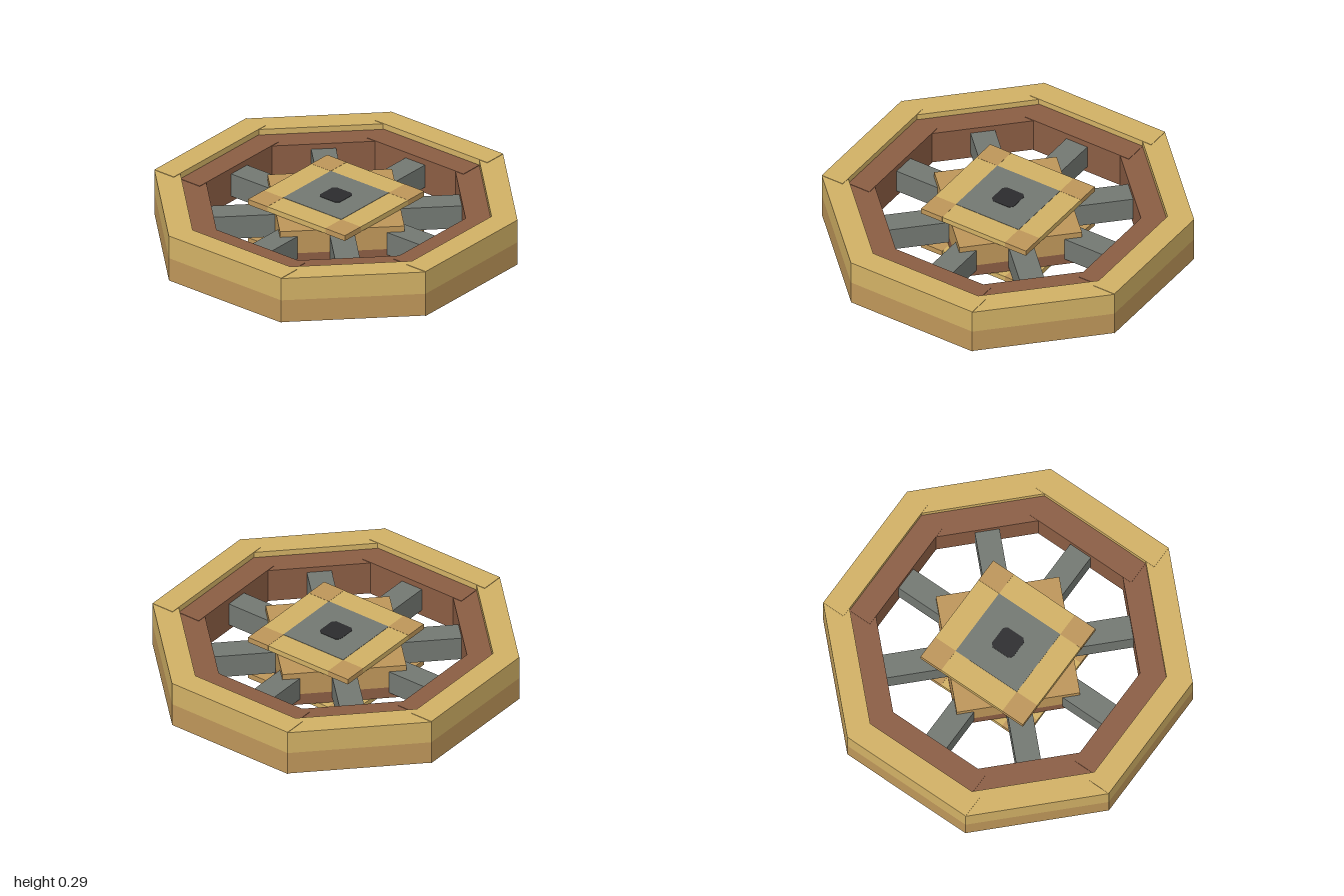
import * as THREE from 'three';

const mat = (name, color) => {
  const m = new THREE.MeshStandardMaterial({ color });
  m.name = name;
  return m;
};

export function createModel() {
  const gold = mat('paleGold', 0xd3b266);
  const ochre = mat('ochre', 0xbf975a);
  const brown = mat('redBrown', 0x8c5e44);
  const grey = mat('stoneGrey', 0x747973);
  const black = mat('nearBlack', 0x2c2c2e);

  const P = 1 / 14; // modelling unit
  const H = 4 * P; // full height
  const model = new THREE.Group();
  model.name = 'wheel';

  // Box given by its width, depth and vertical extent
  const box = (parent, name, w, d, y0, y1, material, z = 0) => {
    const mesh = new THREE.Mesh(new THREE.BoxGeometry(w, y1 - y0, d), material);
    mesh.name = name;
    mesh.position.set(0, (y0 + y1) / 2, z);
    parent.add(mesh);
    return mesh;
  };
  const sideCap = (side, cap) => [side, side, cap, cap, side, side];

  // Eight rim sections, each with its inner rim and spoke
  for (let i = 0; i < 8; i++) {
    const section = new THREE.Group();
    section.name = 'wheelSection';
    section.rotation.y = (i * Math.PI) / 4;
    const inset = i % 2 ? 0.003 : 0; // diagonal sections sit slightly inside
    const t = Math.tan(Math.PI / 8) * 2;
    box(section, 'outerRimUpper', t, 2 * P, H / 2, H - inset, gold, 13 * P);
    box(section, 'outerRimLower', t, 2 * P, inset, H / 2, sideCap(ochre, gold), 13 * P);
    box(section, 'innerRim', t * 12 * P, 2 * P, P / 2 + inset, 3.5 * P - inset, brown, 11 * P);
    box(section, 'spoke', 2 * P, 6 * P, P, 3 * P, grey, 7.5 * P);
    model.add(section);
  }

  // Hub core, turned 45 degrees
  const core = new THREE.Group();
  core.name = 'hubCore';
  core.rotation.y = Math.PI / 4;
  box(core, 'hubCoreUpper', 10 * P, 10 * P, 1.5 * P, 3.5 * P, ochre);
  box(core, 'hubCoreLower', 10 * P, 10 * P, P / 2, 1.5 * P, sideCap(brown, ochre));
  model.add(core);

  // Axle cap outline: a square with softened corners
  const a = 0.074, c = 0.055;
  const capShape = new THREE.Shape(
    [[a, c], [c, a], [-c, a], [-a, c], [-a, -c], [-c, -a], [c, -a], [a, -c]]
      .map(([x, y]) => new THREE.Vector2(x, y))
  );

  // Matching hub plates above and below
  for (const top of [true, false]) {
    const plate = new THREE.Group();
    plate.name = top ? 'topHubPlate' : 'bottomHubPlate';
    if (!top) {
      plate.rotation.x = Math.PI;
      plate.position.y = H;
    }
    box(plate, 'hubPlate', 10 * P, 10 * P, 3.5 * P, H - 0.004, gold);
    for (const sx of [-1, 1]) for (const sz of [-1, 1]) {
      const corner = box(plate, 'hubCorner', 2 * P + 0.001, 2 * P + 0.001, 3.5 * P - 0.001, H - 0.003, ochre);
      corner.position.x = sx * 4 * P;
      corner.position.z = sz * 4 * P;
    }
    box(plate, 'hubPanel', 6 * P, 6 * P, H - 0.006, H - 0.002, grey);
    const cap = new THREE.Mesh(
      new THREE.ExtrudeGeometry(capShape, { depth: 0.005, bevelEnabled: false }), black);
    cap.name = 'axleCap';
    cap.rotation.x = -Math.PI / 2;
    cap.position.y = H - 0.005;
    plate.add(cap);
    model.add(plate);
  }
  return model;
}
